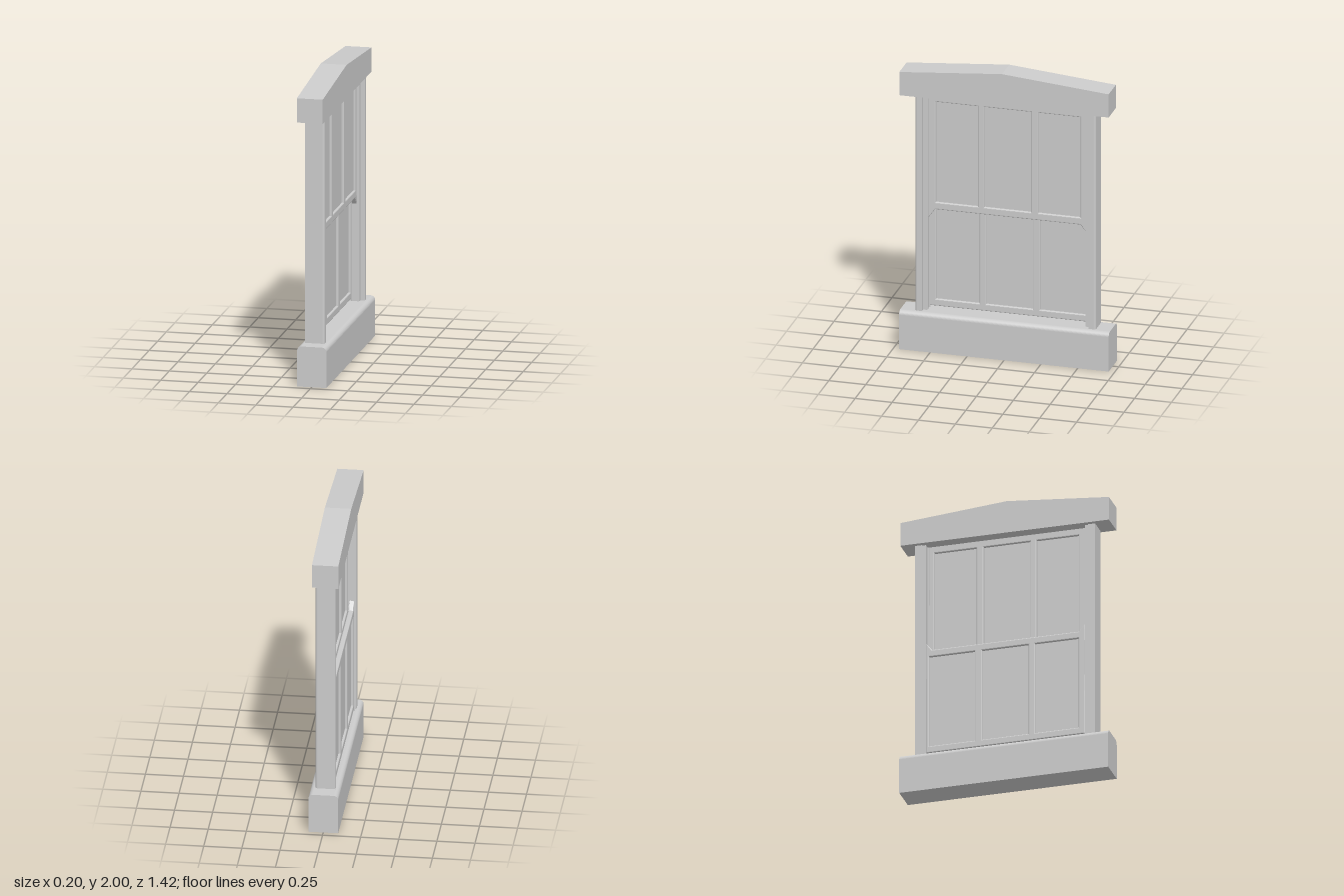
import * as THREE from 'three';

const material = new THREE.MeshStandardMaterial({ color: 0xcccccc });

// Builds a closed shape from [u, v] points.
function outline(points, Type = THREE.Shape) {
  return new Type(points.map(([u, v]) => new THREE.Vector2(u, v)));
}

// Extrudes an elevation drawn in (-z, y) along x, from x0 to x1.
function slab(name, shape, x0, x1, bevel = 0) {
  const geometry = new THREE.ExtrudeGeometry(shape, {
    depth: x1 - x0 - 2 * bevel, bevelEnabled: bevel > 0, bevelSize: bevel,
    bevelThickness: bevel, bevelOffset: -bevel, bevelSegments: 3,
  });
  geometry.translate(0, 0, x0 + bevel);
  geometry.rotateY(Math.PI / 2);
  const mesh = new THREE.Mesh(geometry, material);
  mesh.name = name;
  return mesh;
}

function box(name, x0, x1, y0, y1, z0, z1) {
  const mesh = new THREE.Mesh(new THREE.BoxGeometry(x1 - x0, y1 - y0, z1 - z0), material);
  mesh.position.set((x0 + x1) / 2, (y0 + y1) / 2, (z0 + z1) / 2);
  mesh.name = name;
  return mesh;
}

// Extrudes a cross-section drawn in (x, y) along z.
function sill() {
  const s = new THREE.Shape();
  const r = 0.03, w = 0.098, h = 0.27;
  s.moveTo(-w, 0);
  s.lineTo(w, 0);
  s.lineTo(w, h - r);
  s.absarc(w - r, h - r, r, 0, Math.PI / 2);
  s.absarc(-w + r, h - r, r, Math.PI / 2, Math.PI);
  const geometry = new THREE.ExtrudeGeometry(s, { depth: 1.42, bevelEnabled: false, curveSegments: 8 });
  geometry.translate(0, 0, -0.71);
  const mesh = new THREE.Mesh(geometry, material);
  mesh.name = 'sill';
  return mesh;
}

// Jamb post with rounded outward edges, plus stop and parting beads.
function jamb(side) {
  const group = new THREE.Group();
  group.name = side > 0 ? 'leftJamb' : 'rightJamb';
  const s = new THREE.Shape();
  const x0 = -0.068, x1 = 0.063, z0 = 0.565, z1 = 0.612, r = 0.014;
  s.moveTo(x0, z0);
  s.lineTo(x1, z0);
  s.lineTo(x1, z1 - r);
  s.absarc(x1 - r, z1 - r, r, 0, Math.PI / 2);
  s.lineTo(x0, z1);
  const geometry = new THREE.ExtrudeGeometry(s, { depth: 1.53, bevelEnabled: false, curveSegments: 6 });
  geometry.rotateX(-Math.PI / 2);
  geometry.translate(0, 0.26, 0);
  const post = new THREE.Mesh(geometry, material);
  post.name = 'post';
  // The extrusion lies on -z; a half turn of the depth axis is avoided by mirroring.
  if (side > 0) post.scale.z = -1;
  group.add(post);
  const bead = (name, a, b, inner) => {
    const zs = [side * inner, side * 0.567].sort((p, q) => p - q);
    group.add(box(name, a, b, 0.26, 1.79, zs[0], zs[1]));
  };
  bead('lining', -0.06, 0.034, 0.54);
  bead('outerStop', 0.016, 0.03, 0.535);
  bead('partingBead', -0.022, -0.018, 0.53);
  return group;
}

// Three-light sash: frame with openings and thin panes.
function sash(name, shape, lights, y0, y1, x0, x1) {
  const group = new THREE.Group();
  group.name = name;
  for (const [a, b] of lights) {
    shape.holes.push(outline([[a, y0], [a, y1], [b, y1], [b, y0]], THREE.Path));
  }
  group.add(slab('sashFrame', shape, x0, x1, 0.007));
  const mid = (x0 + x1) / 2;
  lights.forEach(([a, b], i) => {
    group.add(box('pane' + (i + 1), mid - 0.002, mid + 0.002, y0 - 0.01, y1 + 0.01, -b - 0.01, -a + 0.01));
  });
  return group;
}

export function createModel() {
  const model = new THREE.Group();
  model.name = 'sashWindow';
  model.add(sill(), jamb(1), jamb(-1));

  // Shallow gabled lintel
  model.add(slab('lintel', outline([
    [-0.715, 1.775], [0.703, 1.775], [0.703, 1.938], [-0.02, 2], [-0.715, 1.938],
  ]), -0.098, 0.075));

  // Upper sash sits outside, with horns below its meeting rail
  model.add(sash('upperSash', outline([
    [-0.54, 1.785], [-0.54, 0.905], [-0.49, 0.975], [0.495, 0.975], [0.535, 0.925], [0.535, 1.785],
  ]), [[-0.485, -0.2], [-0.155, 0.16], [0.21, 0.495]], 1.025, 1.73, -0.018, 0.016));

  // Lower sash sits inside, with horns above its meeting rail
  model.add(sash('lowerSash', outline([
    [-0.54, 0.282], [0.54, 0.282], [0.54, 1.07], [0.5, 1.02], [-0.495, 1.02], [-0.54, 1.07],
  ]), [[-0.495, -0.2], [-0.155, 0.16], [0.21, 0.52]], 0.33, 0.972, -0.056, -0.022));

  return model;
}
